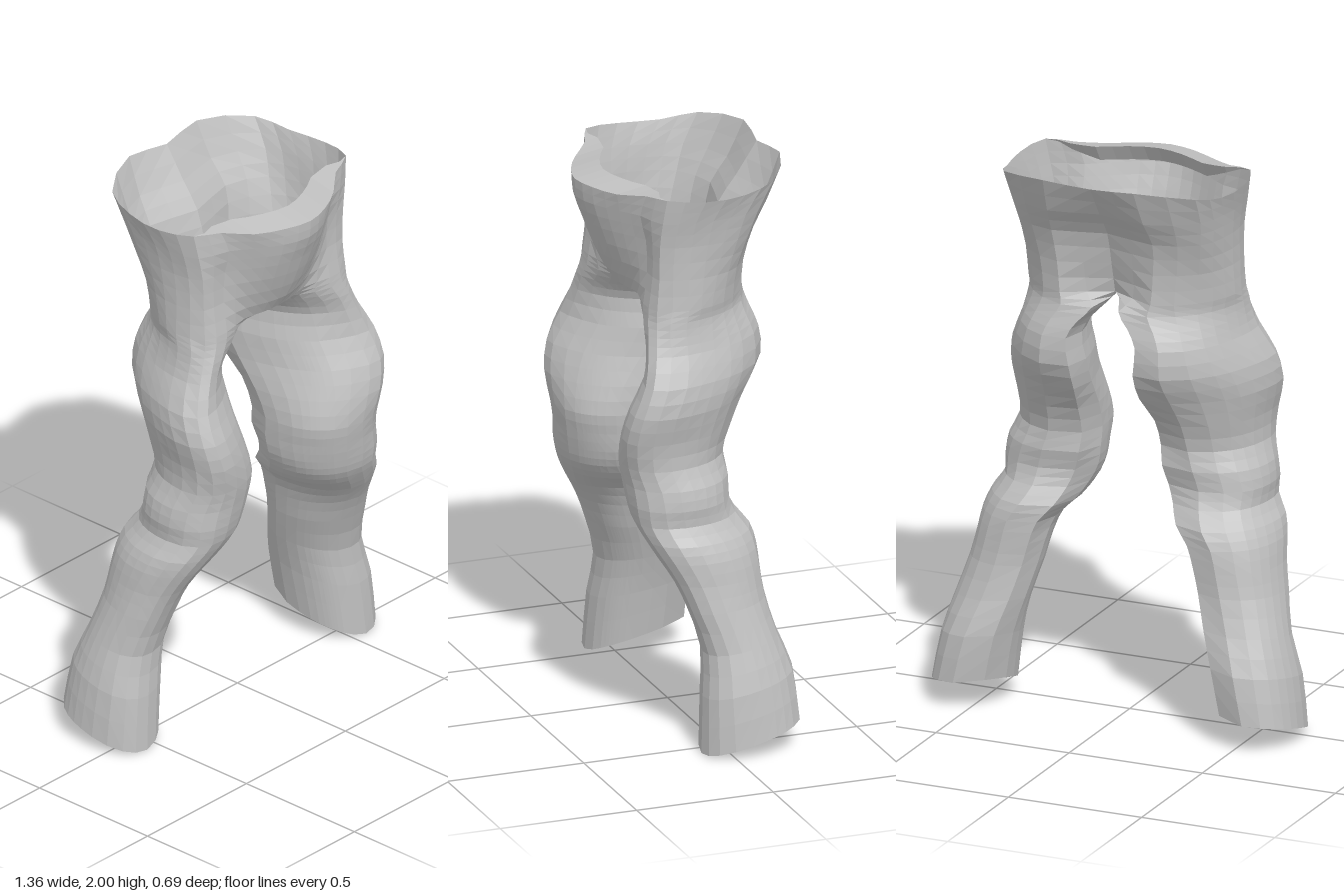
import * as THREE from 'three';

const V = (x, y, z) => new THREE.Vector3(x, y, z);
const STEPS = 2;          // subdivisions between cross-sections
const OUTER = 18;         // intervals from front seam round the hip to back seam
const BRIDGE = 5;         // intervals across the crotch

// Half cross-sections of the hips, front seam -> side -> back seam: height, then [x, z] or [x, z, own height]
const hipRings = [
  [1.95, [[0, .34, 1.935], [.1, .315, 1.935], [.2, .262, 1.935], [.29, .19], [.385, .15, 1.96],
    [.42, .02], [.402, -.13], [.36, -.25, 1.975], [.17, -.345, 2], [0, -.327, 1.985]]],
  [1.87, [[0, .335], [.1, .308], [.19, .25], [.26, .2], [.37, .16],
    [.4, .05], [.39, -.08], [.355, -.195], [.18, -.287], [0, -.25]]],
  [1.78, [[0, .3], [.1, .28], [.18, .23], [.26, .18], [.355, .165],
    [.385, .06], [.38, -.06], [.34, -.165], [.19, -.23], [0, -.185]]],
  [1.66, [[0, .255], [.09, .235], [.17, .2], [.26, .175], [.35, .165],
    [.383, .07], [.37, -.04], [.32, -.13], [.18, -.205], [0, -.15]]],
  [1.55, [[0, .19], [.07, .185], [.15, .17], [.26, .19], [.355, .175],
    [.388, .07], [.372, -.02], [.31, -.12], [.17, -.205], [0, -.12]]],
];

// Leg cross-sections: [y, inner x, outer x, back z, front z, diagonal skew in degrees]
const legRings = [
  [1.51, .025, .39, -.225, .2, 15], [1.46, .075, .4, -.245, .205, 17], [1.4, .11, .42, -.265, .21, 18],
  [1.3, .095, .47, -.265, .24, 18], [1.2, .1, .485, -.21, .285, 17], [1.1, .11, .465, -.14, .3, 12],
  [1, .11, .455, -.1, .295, 8], [.93, .115, .48, -.11, .28, 6], [.86, .13, .495, -.1, .27, 5],
  [.8, .155, .49, -.12, .26, 5], [.74, .19, .525, -.165, .235, 6], [.68, .25, .545, -.18, .2, 7],
  [.6, .28, .56, -.185, .15, 8], [.5, .3, .58, -.19, .11, 8], [.35, .335, .615, -.22, .065, 7],
  [.2, .37, .655, -.26, .08, 5], [0, .4, .68, -.27, .09, 2],
];

// Spline through the half ring, mirrored past both seams so it crosses them smoothly
function hipRing([y, points]) {
  const half = points.map(([x, z, own = y]) => V(x, own, z));
  const n = half.length;
  const flip = (p) => V(-p.x, p.y, p.z);
  const curve = new THREE.CatmullRomCurve3([flip(half[1]), ...half, flip(half[n - 2])]);
  return Array.from({ length: OUTER + 1 }, (_, i) => curve.getPoint((1 + (n - 1) * i / OUTER) / (n + 1)));
}

// Angles on the top leg section that line up with the points above it, so the columns do not twist
function matchAngles(points, [, xi, xo, zb, zf, skew]) {
  const d = THREE.MathUtils.degToRad(skew);
  return points.map((p) => {
    const u = (p.x - (xi + xo) / 2) / ((xo - xi) / 2);
    const w = (p.z - (zf + zb) / 2) / ((zf - zb) / 2);
    return Math.atan2(u * Math.cos(d) - w * Math.sin(d), w * Math.cos(d) - u * Math.sin(d));
  });
}

function legRing([y, xi, xo, zb, zf, skew], angles) {
  const tilt = Math.max(0, 1 - y / 0.6);       // slanted hem
  const wrinkle = y > 0.6 ? 0.016 : 0.008;
  const d = THREE.MathUtils.degToRad(skew);
  const bend = (s) => Math.sign(s) * Math.abs(s) ** 0.9;
  return angles.map((a) => {
    const k = 1 + wrinkle * (Math.sin(3 * a + y * 23) - 0.3);
    const sx = bend(Math.sin(a + d)), sz = bend(Math.cos(a - d));
    const x = (xi + xo) / 2 + (xo - xi) / 2 * sx * k;
    const z = (zf + zb) / 2 + (zf - zb) / 2 * sz * k;
    const back = Math.max(0, (zf - z) / (zf - zb)) ** 0.8;
    return V(x, y + tilt * (back * 0.1 + Math.max(0, -sx) * 0.03), z);
  });
}

// Sheet through rows of points; side = -1 mirrors it
function sheet(rows, side) {
  const n = rows[0].length, pos = [], idx = [];
  rows.forEach((row) => row.forEach((p) => pos.push(side * p.x, p.y, p.z)));
  for (let r = 0; r < rows.length - 1; r++) {
    for (let c = 0; c < n - 1; c++) {
      const a = r * n + c, b = a + 1, d = a + n, e = d + 1;
      if (side > 0) idx.push(a, d, b, b, d, e);
      else idx.push(a, b, d, b, e, d);
    }
  }
  const g = new THREE.BufferGeometry();
  g.setAttribute('position', new THREE.Float32BufferAttribute(pos, 3));
  g.setIndex(idx);
  g.computeVertexNormals();
  return g;
}

// Smooth column through the rings, sampled evenly between them
function column(points) {
  const curve = new THREE.CatmullRomCurve3(points);
  const n = (points.length - 1) * STEPS;
  return Array.from({ length: n + 1 }, (_, i) => {
    const p = curve.getPoint(i / n);
    p.x = Math.max(0, p.x);
    return p;
  });
}

export function createModel() {
  const group = new THREE.Group();
  group.name = 'trousers';
  const cloth = new THREE.MeshStandardMaterial({ color: 0xbfbfbf });
  cloth.name = 'grey cloth';
  cloth.side = THREE.DoubleSide;
  cloth.flatShading = true;

  // Closed ring at the leg opening: lowest hip ring plus the crotch bridge
  const hips = hipRings.map(hipRing);
  const lastHip = hips[hips.length - 1];
  const opening = [...lastHip];
  for (let i = 1; i < BRIDGE; i++) {
    const p = lastHip[OUTER].clone().lerp(lastHip[0], i / BRIDGE);
    p.y -= 0.01 * Math.sin(Math.PI * i / BRIDGE);
    opening.push(p);
  }
  const angles = matchAngles(opening, legRings[0]);
  const legs = legRings.map((r) => legRing(r, angles));

  // Outer columns run from waist to hem, bridge columns from crotch to hem
  const columns = opening.map((top, c) => column([
    ...(c <= OUTER ? hips.map((r) => r[c]) : [top]), ...legs.map((r) => r[c]),
  ]));

  const split = (hips.length - 1) * STEPS;
  const hipRows = [], legRows = [];
  for (let r = 0; r <= split; r++) hipRows.push(columns.slice(0, OUTER + 1).map((c) => c[r]));
  for (let r = 0; r <= legs.length * STEPS; r++) {
    const row = columns.map((c, i) => c[i <= OUTER ? r + split : r]);
    legRows.push([...row, row[0]]);
  }

  // Thick folded rim along the front of the waist, thinning out toward the sides
  const rim = hipRows[0].slice(0, 9);
  const fade = (p) => THREE.MathUtils.clamp((0.36 - p.x) / 0.16, 0, 1);
  const rimInner = rim.map((p) => V(p.x, p.y + 0.02 * fade(p), p.z - 0.105 * fade(p)));
  const rimLining = rim.map((p) => V(p.x, p.y - 0.04 * fade(p), p.z - 0.065 * fade(p)));

  // Turned-in hem at the ankle
  const hem = legRows[legRows.length - 1];
  const mid = V(0.54, 0.05, -0.09);
  const hemInner = hem.map((p) => V(mid.x + (p.x - mid.x) * 0.91, p.y + 0.004, mid.z + (p.z - mid.z) * 0.93));
  const hemLining = hemInner.map((p) => V(p.x - 0.012, p.y + 0.06, p.z));

  const parts = {
    Hip: hipRows, Leg: legRows,
    WaistFold: [rimLining, rimInner, rim], Hem: [hem, hemInner, hemLining],
  };
  for (const [name, side] of [['left', 1], ['right', -1]]) {
    const half = new THREE.Group();
    half.name = name + 'Half';
    for (const [part, rows] of Object.entries(parts)) {
      const mesh = new THREE.Mesh(sheet(rows, side), cloth);
      mesh.name = name + part;
      half.add(mesh);
    }
    group.add(half);
  }
  return group;
}
